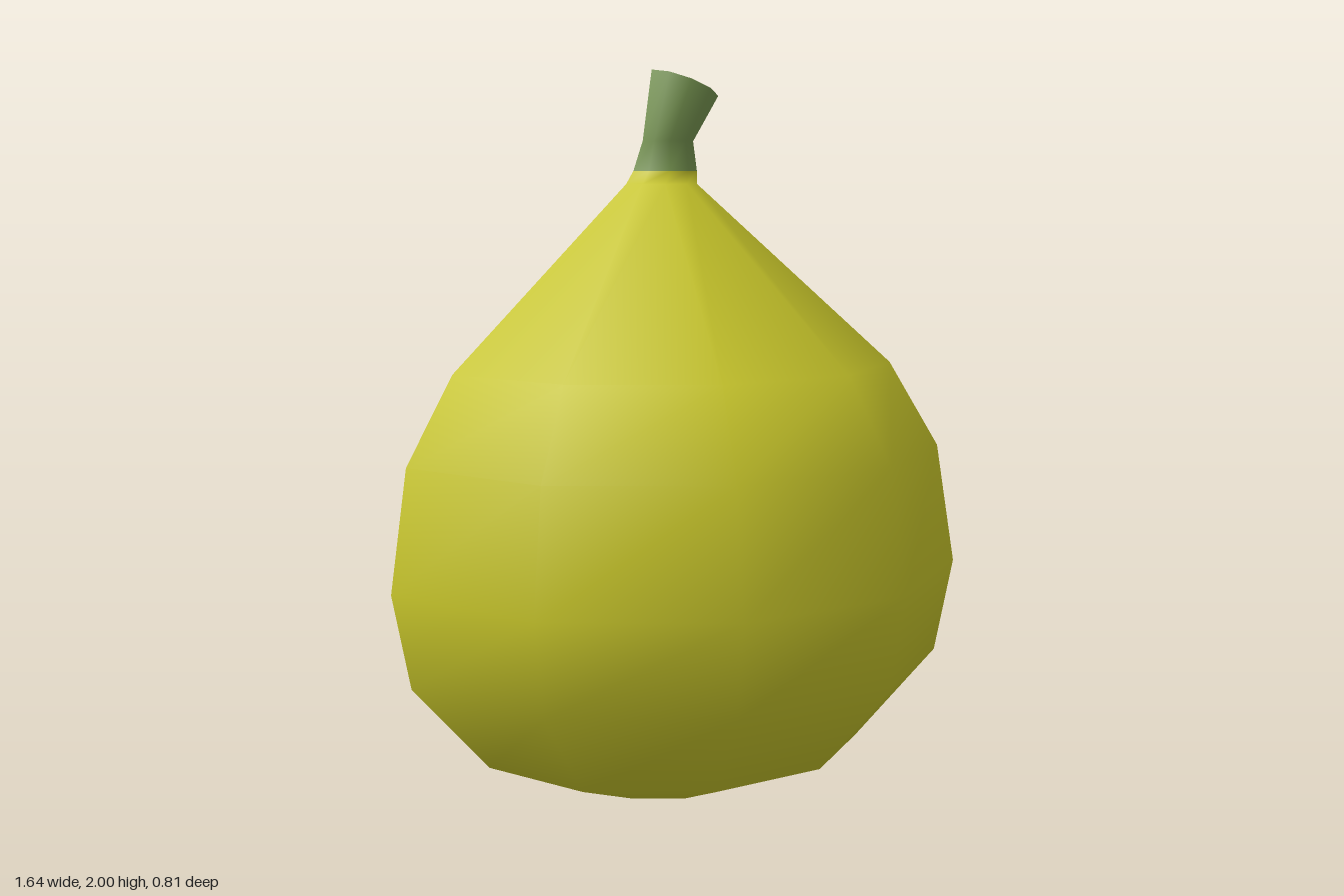
import * as THREE from 'three';
import { mergeVertices } from 'three/addons/utils/BufferGeometryUtils.js';

const mat = (name, color, side = THREE.FrontSide) => {
  const m = new THREE.MeshStandardMaterial({ color, side });
  m.name = name;
  return m;
};

const Z_CUT = -0.4, Z_MID = -0.36, SEGMENTS = 5;

// Rows: left x, left y, right x, right y, depth of the half ring
const even = (r, y, d = r * 0.975) => [-r, y, r, y, d];
const neck = [-0.085, 1.73, 0.105, 1.73, 0.085];
const bodyRows = [
  even(0, 0.005), even(0.24, 0.035), even(0.55, 0.15), even(0.77, 0.4), even(0.82, 0.655),
  even(0.77, 0.98), even(0.635, 1.21), even(0.108, 1.695, 0.085), neck,
];
const stemRows = [
  neck, [-0.055, 1.81, 0.1, 1.81, 0.058], [-0.025, 2.0, 0.17, 1.925, 0.1],
  [0.0, 1.995, 0.14, 1.935, 0.075], [0.08, 1.975, 0.08, 1.975, 0],
];

// Half ring of points around the front of a row, from right to left
function halfRing([xl, yl, xr, yr, d]) {
  return Array.from({ length: SEGMENTS + 1 }, (_, j) => {
    const a = (j / SEGMENTS) * Math.PI, t = (1 - Math.cos(a)) / 2;
    return [xr + (xl - xr) * t, yr + (yl - yr) * t, Z_MID + d * Math.sin(a)];
  });
}

// Point on the cut plane, slightly inside the outer edge
function inner(row, side) {
  const [xl, yl, xr, yr] = row;
  const inset = Math.min(0.025, (xr - xl) / 2);
  const x = side > 0 ? xr - inset : xl + inset, y = side > 0 ? yr : yl;
  return [x, y + 0.075 * Math.max(0, 1 - y / 0.25) - (y > 1.9 ? 0.015 : 0), Z_CUT];
}

// Surface through rows of points
function loft(rows) {
  const n = rows[0].length, index = [];
  for (let i = 0; i < rows.length - 1; i++) {
    for (let j = 0; j < n - 1; j++) {
      const a = i * n + j, b = a + 1, c = a + n, d = c + 1;
      index.push(a, c, b, b, c, d);
    }
  }
  const g = new THREE.BufferGeometry();
  g.setAttribute('position', new THREE.Float32BufferAttribute(rows.flat(2), 3));
  g.setIndex(index);
  const merged = mergeVertices(g);
  merged.computeVertexNormals();
  return merged;
}

const rim = (rows, side) => loft(rows.map((row) => {
  const ring = halfRing(row);
  return side > 0 ? [inner(row, 1), ring[0]] : [ring[SEGMENTS], inner(row, -1)];
}));

// Flat shapes on the cut plane, facing back
const toShape = (pts, smooth) => {
  let v = pts.map(([x, y]) => new THREE.Vector2(-x, y));
  if (smooth) {
    v = new THREE.CatmullRomCurve3(v.map((p) => new THREE.Vector3(p.x, p.y, 0)), true)
      .getPoints(pts.length * 4).slice(0, -1).map((p) => new THREE.Vector2(p.x, p.y));
  }
  return new THREE.Shape(v);
};

// Wavy spot of about the given radii
function spot(x, y, rx, ry, seed, wave) {
  const tilt = seed * 1.7, pts = [];
  for (let k = 0; k < 10; k++) {
    const a = (k / 10) * Math.PI * 2, s = 1 + wave * Math.sin(3 * a + seed * 2.3);
    const px = rx * s * Math.cos(a), py = ry * s * Math.sin(a);
    pts.push([x + px * Math.cos(tilt) - py * Math.sin(tilt), y + px * Math.sin(tilt) + py * Math.cos(tilt)]);
  }
  return toShape(pts, true);
}

export function createModel() {
  const group = new THREE.Group();
  const skin = mat('yellowSkin', 0xc6c42a);
  const green = mat('stemGreen', 0x769450);
  const pink = mat('pinkRind', 0xdcb598);
  const flesh = mat('paleFlesh', 0xdfcab8);
  const orange = mat('orangePulp', 0xd9661f);
  const amber = mat('amberPulp', 0xd98c24);
  const ochre = mat('ochrePulp', 0xd9a244);
  const cream = mat('creamSeed', 0xdfc29a);

  const add = (name, geometry, material) => {
    const m = new THREE.Mesh(geometry, material);
    m.name = name;
    group.add(m);
  };
  const plate = (name, shapes, material, layer) => {
    const g = new THREE.ShapeGeometry(shapes);
    g.rotateY(Math.PI);
    g.translate(0, 0, Z_CUT - layer * 0.0015);
    add(name, g, material);
  };

  // Half fruit, stem and their bevelled edges
  add('fruitSkin', loft(bodyRows.map(halfRing)), skin);
  add('stem', loft(stemRows.map(halfRing)), green);
  for (const side of [1, -1]) {
    const label = side > 0 ? 'left' : 'right';
    add(label + 'SkinEdge', rim(bodyRows, side), skin);
    add(label + 'StemEdge', rim(stemRows, side), green);
  }

  // Cut face: rind up into the stem, then flesh
  const outline = [...bodyRows, ...stemRows.slice(1, 3)];
  plate('cutRind', toShape([
    ...outline.map((r) => inner(r, 1)),
    ...outline.slice(1).reverse().map((r) => inner(r, -1)),
  ]), pink, 0);
  const half = [[0.24, 0.13], [0.5, 0.215], [0.7, 0.43], [0.75, 0.66], [0.705, 0.96],
    [0.575, 1.18], [0.07, 1.65], [0.035, 1.76]];
  plate('cutFlesh', toShape([...half, ...half.map(([x, y]) => [-x, y]).reverse()]), flesh, 1);

  // Pulp
  plate('pulp', toShape([
    [0.08, 1.41], [0.33, 1.3], [0.535, 1.07], [0.65, 0.84], [0.685, 0.66], [0.64, 0.53], [0.5, 0.4],
    [0.256, 0.275], [-0.02, 0.216], [-0.3, 0.245], [-0.546, 0.39], [-0.66, 0.58], [-0.645, 0.86],
    [-0.51, 1.06], [-0.31, 1.26], [-0.127, 1.38],
  ], true), orange, 2);
  plate('innerPulp', toShape([
    [0.52, 0.6], [0.45, 0.72], [0.4, 0.865], [0.31, 0.85], [0.29, 0.97], [0.24, 1.07], [0.15, 1.0],
    [0.05, 1.08], [-0.02, 1.06], [-0.09, 1.19], [-0.19, 1.11], [-0.3, 1.16], [-0.44, 1.09], [-0.4, 1.0],
    [-0.455, 0.95], [-0.36, 0.85], [-0.455, 0.73], [-0.39, 0.65], [-0.315, 0.565], [-0.22, 0.63],
    [-0.15, 0.58], [-0.1, 0.46], [-0.02, 0.41], [0.06, 0.5], [0.15, 0.44], [0.27, 0.51], [0.4, 0.5],
  ], true), amber, 3);

  // Ochre patches and small seeds
  const patches = [[-0.3, 1.08, 0.11, 0.07], [-0.14, 0.93, 0.12, 0.08], [0.12, 0.69, 0.11, 0.06],
    [-0.08, 0.65, 0.1, 0.06], [-0.3, 0.74, 0.09, 0.06], [0.33, 0.66, 0.06, 0.04], [0.1, 0.88, 0.07, 0.05]];
  const ochreSeeds = [[0.38, 0.97], [0, 1.24], [0.55, 0.79], [0.12, 1.16], [0.23, 1.0], [-0.16, 0.355],
    [-0.61, 0.79], [-0.43, 0.54], [0.35, 0.41], [0.01, 1.15], [-0.14, 1.18]];
  plate('ochrePatches', [
    ...patches.map(([x, y, rx, ry], i) => spot(x, y, rx, ry, i + 1, 0.22)),
    ...ochreSeeds.map(([x, y], i) => spot(x, y, 0.022, 0.036, i * 0.4, 0.1)),
  ], ochre, 4);

  // Cream seeds and core
  const seeds = [[0.19, 1.31], [-0.09, 1.33], [-0.15, 1.31], [0.23, 1.14], [-0.35, 1.16], [0.29, 0.8],
    [-0.3, 0.83], [-0.23, 0.61], [0.22, 0.34], [-0.04, 0.9], [-0.35, 1.0], [-0.41, 0.78], [0.13, 0.58],
    [0.35, 0.62]];
  plate('seeds', [
    ...seeds.map(([x, y], i) => spot(x, y, 0.026, 0.036, i * 0.7, 0.1)),
    spot(0.06, 0.77, 0.065, 0.045, 1, 0.3), spot(-0.11, 0.81, 0.05, 0.038, 2, 0.2),
  ], cream, 5);
  plate('coreSpot', spot(0.06, 0.61, 0.03, 0.026, 1, 0.1), skin, 5);

  return group;
}
